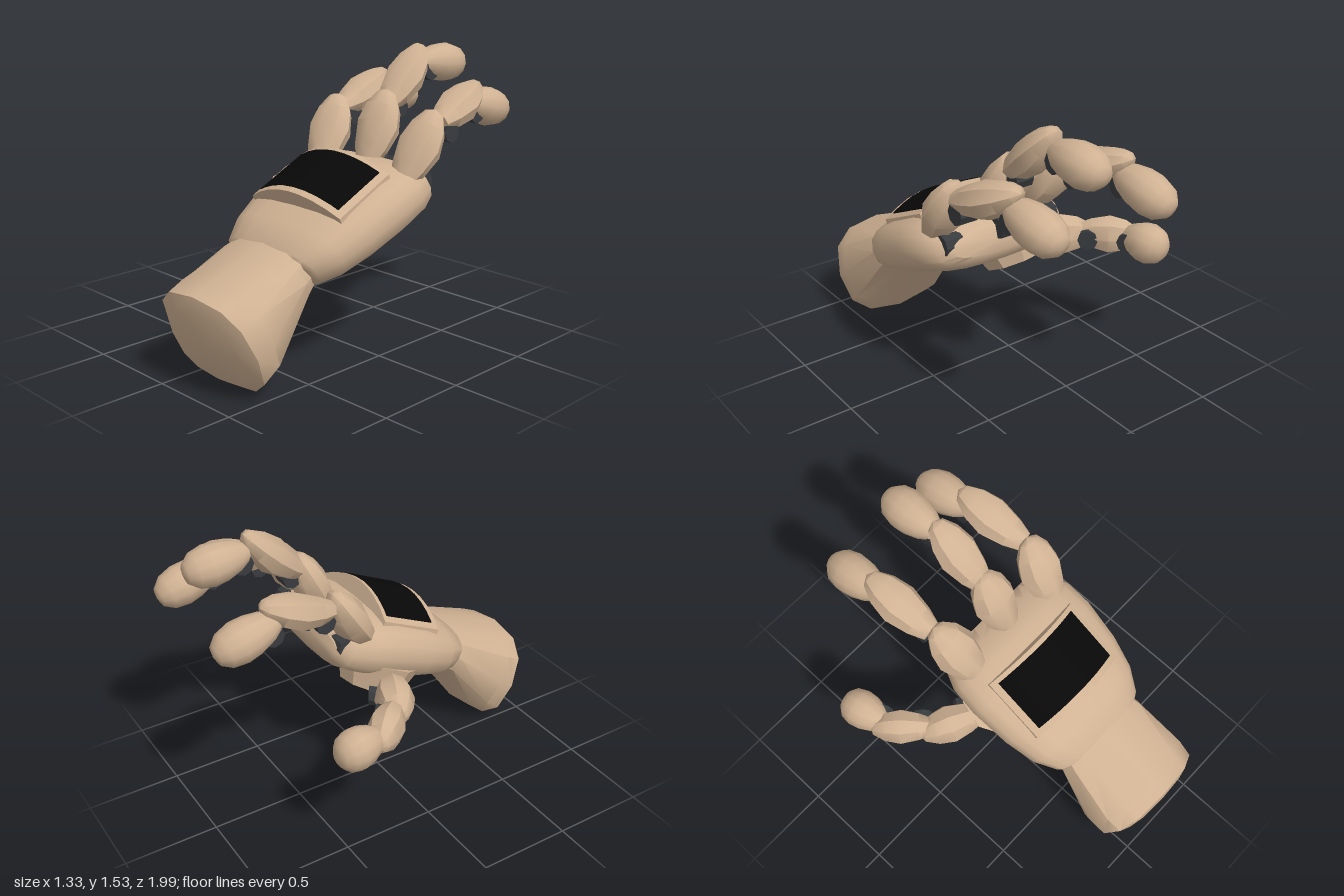
import * as THREE from 'three';
import { mergeVertices, toCreasedNormals } from 'three/addons/utils/BufferGeometryUtils.js';

const skin = new THREE.MeshStandardMaterial({ color: 0xd0b293 });
const dark = new THREE.MeshStandardMaterial({ color: 0x383b3e });
const black = new THREE.MeshStandardMaterial({ color: 0x080808 });
const CX = 0.235; // middle of the palm

function add(parent, name, geometry, material = skin) {
  const mesh = new THREE.Mesh(geometry, material);
  mesh.name = name;
  parent.add(mesh);
  return mesh;
}

// Rounded tube through rings given as [halfWidth, topZ, topY, bottomZ, bottomY], front to back
function loft(rings, sides, power, crease) {
  const pos = [], index = [];
  const bulge = v => Math.sign(v) * Math.pow(Math.abs(v), 2 / power);
  for (const [hw, zt, yt, zb, yb] of rings) {
    for (let j = 0; j < sides; j++) {
      const a = (j / sides) * Math.PI * 2;
      const s = bulge(Math.sin(a)) / 2;
      pos.push(CX + hw * bulge(Math.cos(a)), (yt + yb) / 2 + s * (yt - yb), (zt + zb) / 2 + s * (zt - zb));
    }
  }
  for (const r of [rings[0], rings[rings.length - 1]]) pos.push(CX, (r[2] + r[4]) / 2, (r[1] + r[3]) / 2);
  const last = (rings.length - 1) * sides, cap = rings.length * sides;
  for (let j = 0; j < sides; j++) {
    const k = (j + 1) % sides;
    for (let i = 0; i < last; i += sides) {
      index.push(i + j, i + sides + j, i + k, i + k, i + sides + j, i + sides + k);
    }
    index.push(cap, j, k, cap + 1, last + k, last + j);
  }
  const g = new THREE.BufferGeometry();
  g.setAttribute('position', new THREE.Float32BufferAttribute(pos, 3));
  g.setIndex(index);
  g.computeVertexNormals();
  return toCreasedNormals(g, crease);
}

// Finger shell along an axis: profile of [radius, t], its far end lifted towards the back of the hand
function shell(from, to, halfWidth, halfDepth, profile, sides, lift) {
  const a = new THREE.Vector3(...from), b = new THREE.Vector3(...to);
  const length = a.distanceTo(b);
  let g = new THREE.LatheGeometry(profile.map(p => new THREE.Vector2(...p)), sides);
  g.deleteAttribute('uv');
  g.deleteAttribute('normal');
  g = mergeVertices(g, 1e-4);
  const p = g.attributes.position;
  for (let i = 0; i < p.count; i++) {
    const t = p.getY(i);
    p.setXYZ(i, p.getX(i) * halfWidth, t * length, p.getZ(i) * halfDepth + lift * t * t);
  }
  const y = b.clone().sub(a).normalize();
  const z = new THREE.Vector3(1, 0, 0).cross(y).normalize();
  const x = y.clone().cross(z);
  g.applyMatrix4(new THREE.Matrix4().makeBasis(x, y, z).setPosition(a));
  g.computeVertexNormals();
  return toCreasedNormals(g, 0.75);
}

const PLATE = [[0, 0], [0.5, 0], [0.78, 0.2], [1, 0.5], [0.82, 0.75], [0.45, 0.94], [0, 1]];
const TIP = [[0, 0], [0.45, 0.03], [0.75, 0.2], [0.95, 0.42], [1, 0.62], [0.85, 0.83], [0.5, 0.96], [0, 1]];

function joint(parent, at, turn = 0) {
  const g = new THREE.CylinderGeometry(0.055, 0.055, 0.1, 8);
  g.rotateZ(Math.PI / 2);
  const mesh = add(parent, 'joint', toCreasedNormals(g, 0.6), dark);
  mesh.position.set(...at);
  mesh.rotation.y = turn;
}

// Arched slab across the hand, running along local z
function arch(halfWidth, drop, top, base, length) {
  const s = new THREE.Shape();
  s.moveTo(-halfWidth, base);
  s.lineTo(halfWidth, base);
  for (let i = 0; i <= 8; i++) {
    const u = 1 - i / 4;
    s.lineTo(halfWidth * u, top - drop * u * u);
  }
  s.closePath();
  return new THREE.ExtrudeGeometry(s, { depth: length, bevelEnabled: false });
}

export function createModel() {
  const hand = new THREE.Group();
  hand.name = 'hand';

  // Flared wrist
  add(hand, 'wrist', loft([
    [0.25, 0.99, 0.42, 0.84, 0.05],
    [0.325, 0.985, 0.5, 0.76, 0.0],
    [0.335, 0.9, 0.535, 0.67, 0.08],
    [0.29, 0.6, 0.645, 0.46, 0.41],
    [0.24, 0.42, 0.72, 0.32, 0.52],
  ], 12, 2.6, 0.7));

  // Palm and its fittings lie in a frame tilted up towards the fingers
  const palm = new THREE.Group();
  palm.name = 'palmGroup';
  palm.rotation.x = 0.439;
  hand.add(palm);
  add(palm, 'palm', loft([
    [0.28, 0.24, 0.81, 0.2, 0.61],
    [0.31, 0.22, 0.835, 0.18, 0.595],
    [0.375, 0.08, 0.87, 0.08, 0.575],
    [0.415, -0.1, 0.89, -0.1, 0.56],
    [0.435, -0.33, 0.89, -0.33, 0.55],
    [0.425, -0.48, 0.87, -0.48, 0.545],
    [0.38, -0.59, 0.81, -0.58, 0.555],
    [0.31, -0.65, 0.73, -0.63, 0.6],
  ], 20, 2.7, 0.8));

  // Display on the back of the hand
  add(palm, 'displayFrame', arch(0.31, 0.095, 0.967, 0.815, 0.376)).position.set(CX, 0, -0.41);
  add(palm, 'displayScreen', arch(0.275, 0.075, 0.971, 0.87, 0.315), black).position.set(CX, 0, -0.385);

  // Raised pad at the root of the thumb
  const pad = add(palm, 'thumbPad', toCreasedNormals(new THREE.CylinderGeometry(0.23, 0.17, 0.15, 9), 0.6));
  pad.position.set(0.0, 0.565, -0.29);
  pad.rotation.z = -0.12;

  // Fingers: root, knuckle and end of each of the three shells, then the joints
  const fingers = [
    { name: 'rightFinger', x: [-0.045, -0.12, -0.13, -0.16, -0.175], low: true },
    { name: 'middleFinger', x: [0.24, 0.23, 0.22, 0.205, 0.2], low: false },
    { name: 'leftFinger', x: [0.53, 0.56, 0.535, 0.49, 0.465], low: true },
  ];
  for (const { name, x, low } of fingers) {
    const f = new THREE.Group();
    f.name = name;
    hand.add(f);
    const root = low ? [0.9, -0.1] : [0.95, -0.16];
    const knuckle = low ? [1.21, -0.37] : [1.28, -0.38];
    const mid = low ? [[1.17, -0.35], [1.27, -0.755]] : [[1.22, -0.32], [1.47, -0.66]];
    const end = low ? [[1.235, -0.65], [1.15, -1.0]] : [[1.42, -0.61], [1.39, -0.955]];
    add(f, 'lowerSegment', shell([x[0], ...root], [x[1], ...knuckle], 0.125, 0.1, PLATE, 8, 0.05));
    add(f, 'middleSegment', shell([x[1], ...mid[0]], [x[3], ...mid[1]], 0.112, 0.095, PLATE, 8, 0.05));
    add(f, 'fingertip', shell([x[3], ...end[0]], [x[4], ...end[1]], 0.11, 0.105, TIP, 12, 0));
    joint(f, [x[0], low ? 0.89 : 0.92, low ? -0.235 : -0.29]);
    joint(f, [x[1], low ? 1.125 : 1.21, low ? -0.4 : -0.385]);
    joint(f, [x[3], low ? 1.175 : 1.375, low ? -0.7 : -0.66]);
  }

  // Thumb curling forward from the side of the palm
  const thumb = new THREE.Group();
  thumb.name = 'thumb';
  hand.add(thumb);
  add(thumb, 'lowerSegment', shell([-0.14, 0.64, -0.01], [-0.45, 0.64, -0.16], 0.105, 0.115, PLATE, 8, 0));
  add(thumb, 'middleSegment', shell([-0.37, 0.65, -0.14], [-0.6, 0.65, -0.38], 0.095, 0.11, PLATE, 8, 0));
  add(thumb, 'fingertip', shell([-0.53, 0.66, -0.33], [-0.58, 0.66, -0.59], 0.105, 0.11, TIP, 12, 0));
  joint(thumb, [-0.17, 0.6, -0.1], 0.9);
  joint(thumb, [-0.385, 0.64, -0.2], 0.8);
  joint(thumb, [-0.515, 0.65, -0.385], 0.4);

  return hand;
}
